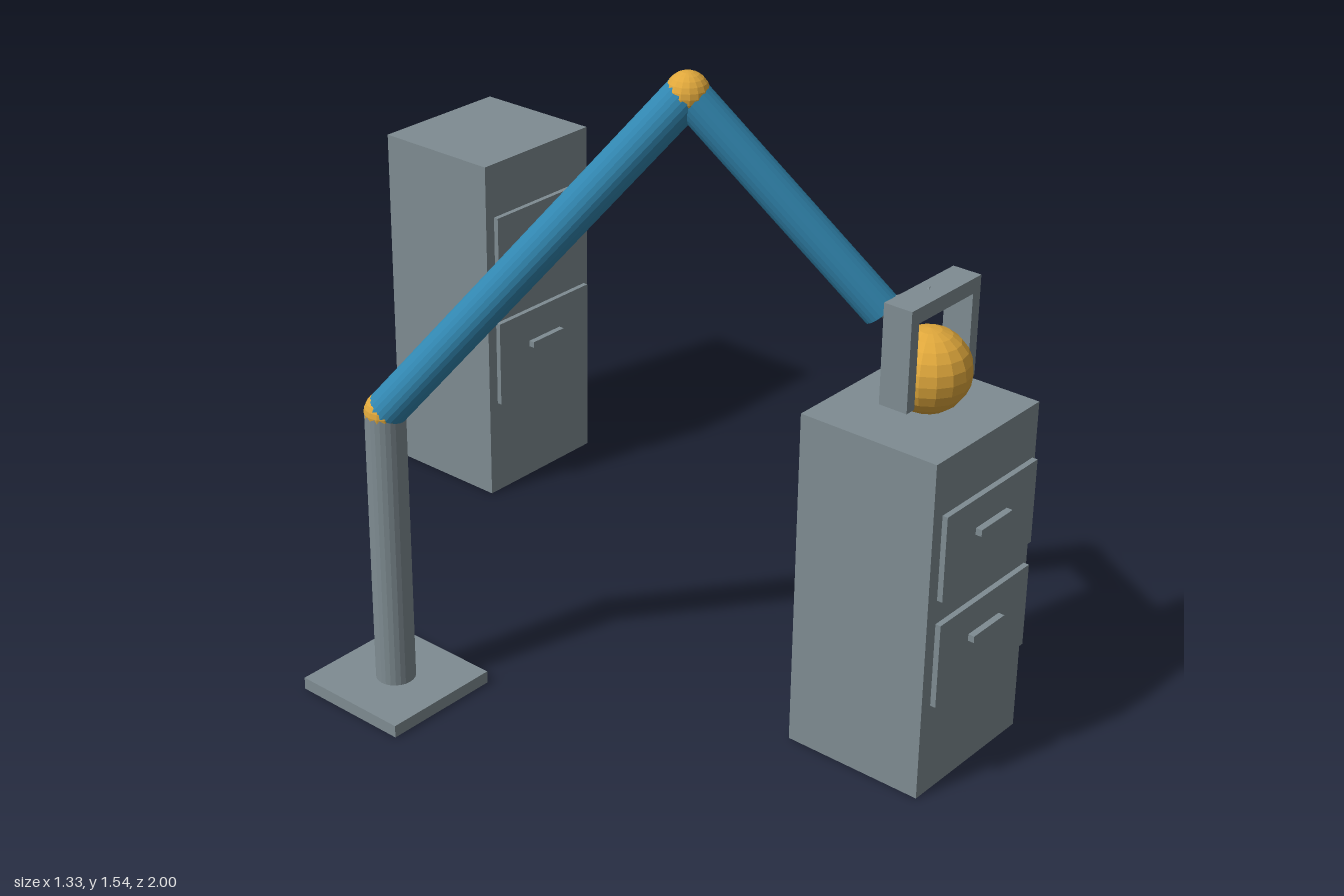
import * as THREE from 'three';

const steel = new THREE.MeshStandardMaterial({ color: 0x7f8c92, flatShading: true });
steel.name = 'steelGrey';
const blue = new THREE.MeshStandardMaterial({ color: 0x3288b2, flatShading: true });
blue.name = 'armBlue';
const amber = new THREE.MeshStandardMaterial({ color: 0xe0a83c, flatShading: true });
amber.name = 'amber';

function add(parent, name, geometry, material, x, y, z) {
  const mesh = new THREE.Mesh(geometry, material);
  mesh.name = name;
  mesh.position.set(x, y, z);
  parent.add(mesh);
  return mesh;
}

function box(parent, name, w, h, d, x, y, z) {
  return add(parent, name, new THREE.BoxGeometry(w, h, d), steel, x, y, z);
}

// Cylinder running between two points
function rod(parent, name, a, b, radius, material) {
  const dir = b.clone().sub(a);
  const mid = a.clone().add(b).multiplyScalar(0.5);
  const mesh = add(parent, name, new THREE.CylinderGeometry(radius, radius, dir.length(), 24), material, mid.x, mid.y, mid.z);
  mesh.quaternion.setFromUnitVectors(new THREE.Vector3(0, 1, 0), dir.normalize());
  return mesh;
}

function ball(parent, name, p, radius) {
  return add(parent, name, new THREE.SphereGeometry(radius, 16, 12), amber, p.x, p.y, p.z);
}

// Two-drawer cabinet; the origin is at the bottom centre of its front face
function cabinet(name, height) {
  const group = new THREE.Group();
  group.name = name;
  box(group, 'cabinetBody', 0.378, height, 0.345, 0, height / 2, -0.1725);
  for (const [label, level] of [['lower', 0.407], ['upper', 0.725]]) {
    const y = height * level;
    box(group, label + 'Drawer', 0.335, height * 0.248, 0.013, 0, y, 0.0135);
    box(group, label + 'Handle', 0.115, 0.016, 0.015, 0, y + 0.022, 0.0275);
  }
  return group;
}

export function createModel() {
  const model = new THREE.Group();
  model.name = 'robotArmWithCabinets';

  // Cabinets
  const near = cabinet('frontCabinet', 0.815);
  near.position.set(0.101, 0, 0.965);
  const far = cabinet('backCabinet', 0.922);
  far.position.set(0.475, 0, -0.655);
  model.add(near, far);

  // Arm: floor plate, post and two linked segments
  const arm = new THREE.Group();
  arm.name = 'robotArm';
  model.add(arm);
  const foot = new THREE.Vector3(-0.52, 0.03, -0.189);
  const shoulder = new THREE.Vector3(-0.52, 0.712, -0.189);
  const elbow = new THREE.Vector3(-0.172, 1.49, 0.369);
  const wrist = new THREE.Vector3(0.05, 1.037, 0.715);
  const palm = new THREE.Vector3(0.101, 1.077, 0.806);
  box(arm, 'basePlate', 0.297, 0.03, 0.297, foot.x, 0.015, foot.z);
  rod(arm, 'post', foot, shoulder, 0.046, steel);
  ball(arm, 'shoulderJoint', shoulder, 0.047);
  rod(arm, 'upperArm', shoulder, elbow, 0.046, blue);
  ball(arm, 'elbowJoint', elbow, 0.047);
  rod(arm, 'forearm', elbow, wrist, 0.043, blue);
  rod(arm, 'wristRod', wrist, palm, 0.021, steel);

  // Gripper holding the ball
  const gripper = new THREE.Group();
  gripper.name = 'gripper';
  gripper.position.set(palm.x, 0, palm.z);
  arm.add(gripper);
  box(gripper, 'palmBar', 0.248, 0.035, 0.07, 0, 1.077, 0);
  for (const side of [-1, 1]) {
    box(gripper, side > 0 ? 'leftFinger' : 'rightFinger', 0.027, 0.197, 0.07, side * 0.1105, 0.9615, 0);
  }
  ball(model, 'ball', new THREE.Vector3(palm.x, 0.91, palm.z), 0.095);

  return model;
}
